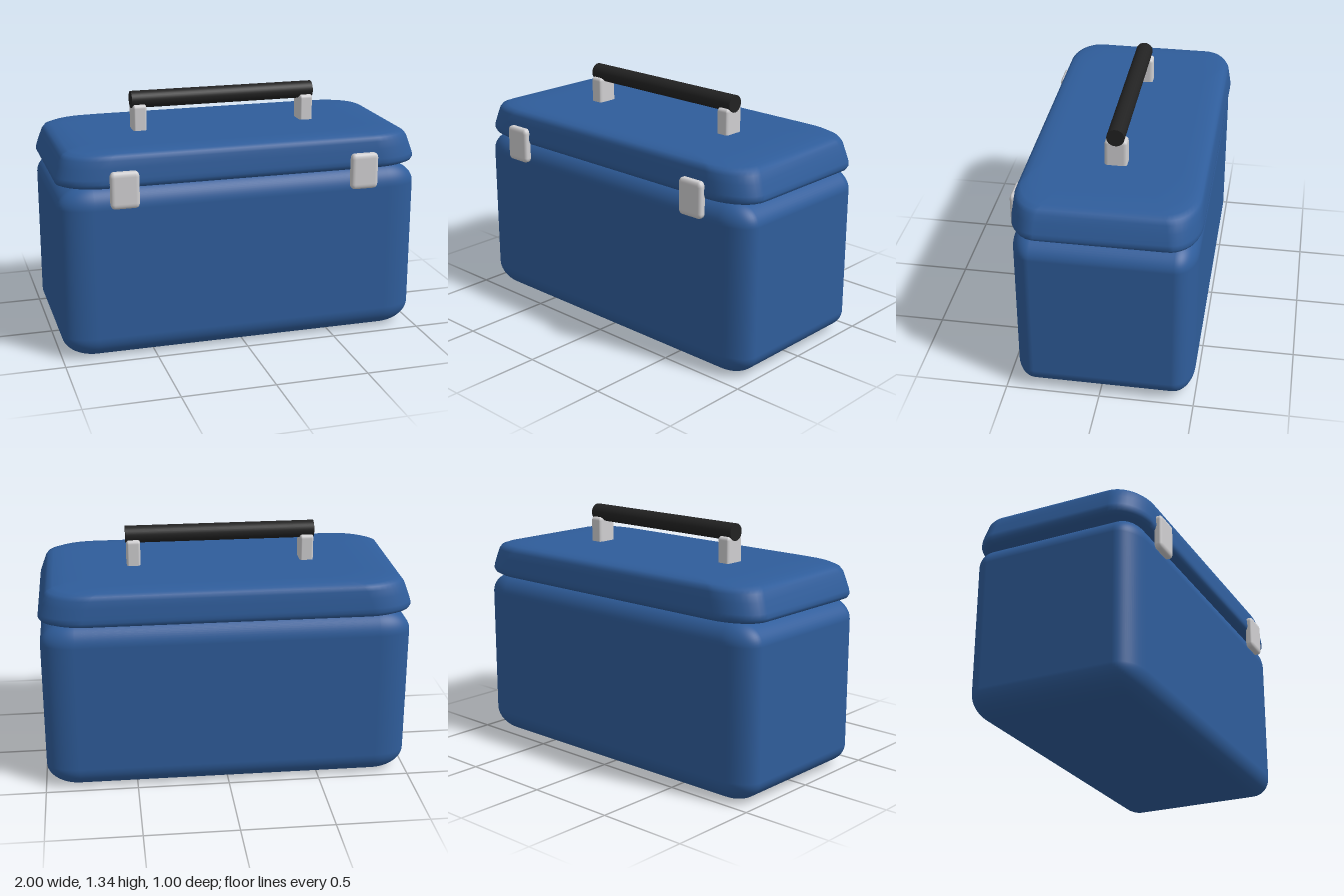
import * as THREE from 'three';
import { RoundedBoxGeometry } from 'three/addons/geometries/RoundedBoxGeometry.js';

const MID_Z = -0.015;

const paint = (name, color) => {
  const m = new THREE.MeshStandardMaterial({ color });
  m.name = name;
  return m;
};

// rounded box with a separate corner radius along each axis
function softBox(w, h, d, rx, ry, rz, segments = 6) {
  const g = new RoundedBoxGeometry(w / rx, h / ry, d / rz, segments, 1);
  g.scale(rx, ry, rz);
  return g;
}

// stacked rounded rectangles; each level is [half width, half depth, y]
function stackedShell(levels, cornerX, cornerZ, steps = 10) {
  const pos = [], index = [], n = 4 * (steps + 1);
  for (const [hx, hz, y] of levels) {
    const rx = Math.min(cornerX, hx), rz = Math.min(cornerZ, hz);
    for (let q = 0; q < 4; q++) {
      const sx = q === 0 || q === 3 ? 1 : -1, sz = q < 2 ? 1 : -1;
      for (let i = 0; i <= steps; i++) {
        const a = (q + i / steps) * Math.PI / 2;
        pos.push(sx * (hx - rx) + rx * Math.cos(a), y, sz * (hz - rz) + rz * Math.sin(a));
      }
    }
  }
  for (let l = 0; l < levels.length - 1; l++) {
    for (let i = 0; i < n; i++) {
      const a = l * n + i, b = l * n + (i + 1) % n;
      index.push(a, a + n, b, b, a + n, b + n);
    }
  }
  // close both ends
  const top = (levels.length - 1) * n;
  for (let i = 1; i < n - 1; i++) {
    index.push(0, i, i + 1, top, top + i + 1, top + i);
  }
  const g = new THREE.BufferGeometry();
  g.setAttribute('position', new THREE.Float32BufferAttribute(pos, 3));
  g.setIndex(index);
  g.computeVertexNormals();
  return g;
}

export function createModel() {
  const model = new THREE.Group();
  model.name = 'coolBox';
  const blue = paint('blue shell', 0x2f5d9b);
  const grey = paint('light grey fittings', 0xd0cfd1);
  const black = paint('black grip', 0x222222);

  const add = (name, geometry, material, x, y, z) => {
    const mesh = new THREE.Mesh(geometry, material);
    mesh.name = name;
    mesh.position.set(x, y, z);
    model.add(mesh);
    return mesh;
  };

  // main container
  add('body', softBox(1.985, 0.95, 0.95, 0.18, 0.12, 0.11, 8), blue, 0, 0.475, MID_Z);

  // tapered lid with a soft lower lip and a gently domed rim
  add('lid', stackedShell([
    [0.80, 0.38, 0.94],
    [0.93, 0.44, 0.941],
    [0.97, 0.467, 0.945],
    [0.99, 0.48, 0.955],
    [0.998, 0.486, 0.972],
    [0.994, 0.485, 0.995],
    [0.975, 0.479, 1.05],
    [0.96, 0.474, 1.09],
    [0.945, 0.466, 1.11],
    [0.915, 0.45, 1.122],
    [0.85, 0.42, 1.13],
    [0.75, 0.38, 1.133],
    [0.65, 0.34, 1.134],
  ], 0.23, 0.15), blue, 0, 0, MID_Z);

  // carrying handle
  const grip = new THREE.CylinderGeometry(0.047, 0.047, 1.034, 32);
  grip.rotateZ(Math.PI / 2);
  add('handleGrip', grip, black, 0, 1.297, MID_Z);

  // handle posts and front latches, mirrored
  for (const [side, s] of [['left', 1], ['right', -1]]) {
    add(side + 'HandlePost', softBox(0.075, 0.17, 0.117, 0.012, 0.02, 0.02, 4), grey, s * 0.476, 1.19, MID_Z);
    add(side + 'Latch', softBox(0.152, 0.196, 0.047, 0.022, 0.028, 0.016, 4), grey, s * 0.657, 0.939, 0.4765);
  }
  return model;
}
